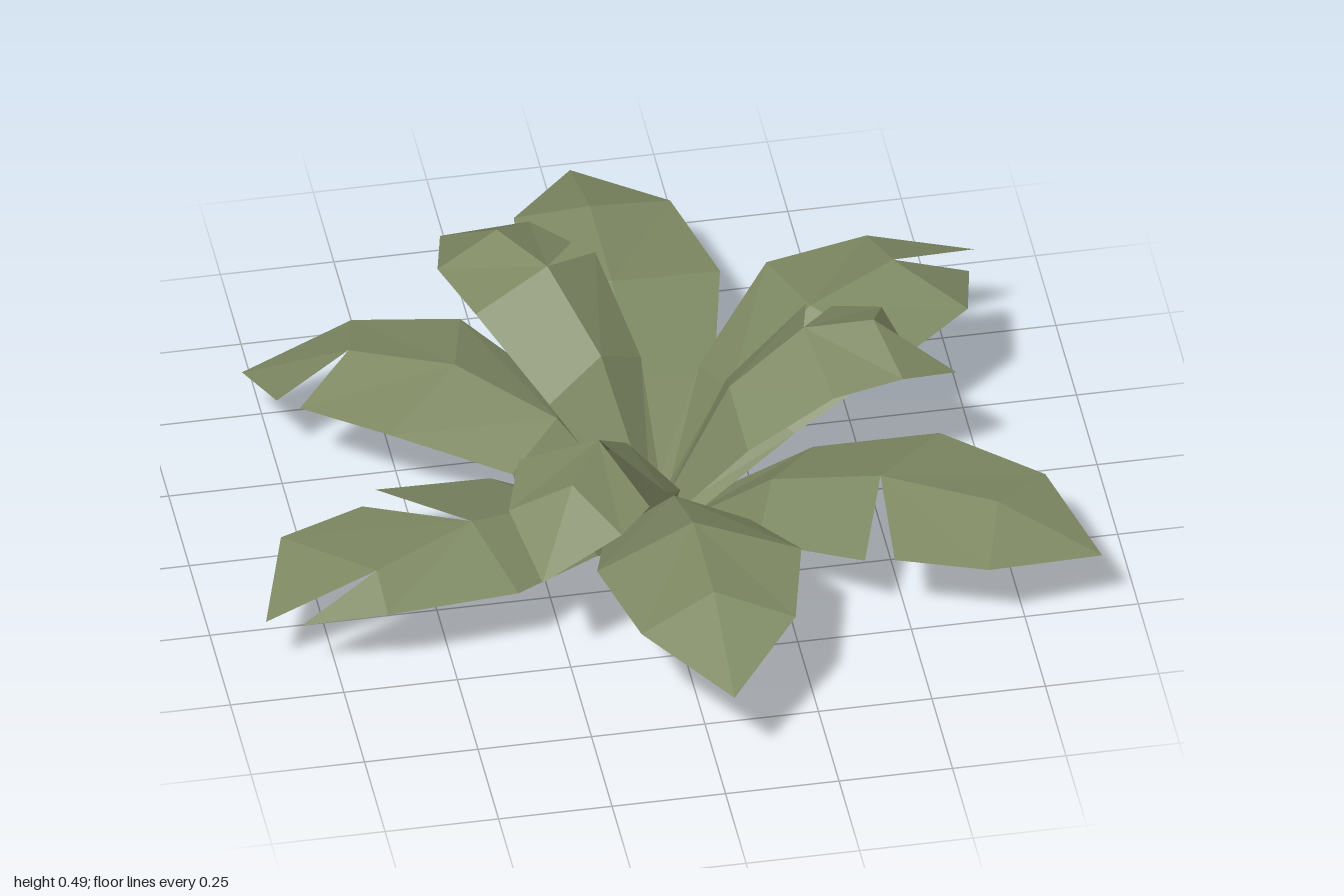
import * as THREE from 'three';

// Spine points are [radius, height]; edge points are [radius, half width, height]
const TIERS = {
  low: {
    spine: [[0.04, 0.005], [0.27, 0.19], [0.52, 0.265], [0.79, 0.265]],
    edge: [[0.05, 0.1, 0], [0.3, 0.18, 0.155], [0.57, 0.24, 0.22], [0.835, 0.18, 0.22]],
    tip: [1.03, 0.18],
    leaves: [
      { angle: 270, tear: [2, 0], widths: [0.88, 1.03] },
      { angle: 30, tear: [0, 2] },
      { angle: 150, tear: [0, 2], widths: [0.9, 1.1], bend: -0.07, gap: 0.03, trim: [0.06, 0.01] },
    ],
  },
  middle: {
    spine: [[0.02, 0.005], [0.23, 0.25], [0.47, 0.36], [0.72, 0.36]],
    edge: [[0.03, 0.05, 0.005], [0.28, 0.16, 0.2], [0.54, 0.225, 0.31], [0.775, 0.17, 0.31]],
    tip: [0.97, 0.26],
    leaves: [
      { angle: 90 },
      { angle: -30, scale: 0.94, bend: -0.02, gap: 0.025, trim: [0, 0.06], droop: -0.03 },
      { angle: 210, scale: 0.98, tear: [3, 0], widths: [0.95, 1], droop: 0.1 },
    ],
  },
  high: {
    spine: [[0.01, 0.03], [0.18, 0.35], [0.36, 0.49], [0.53, 0.49]],
    edge: [[0.02, 0.04, 0.03], [0.2, 0.13, 0.27], [0.4, 0.17, 0.42], [0.575, 0.13, 0.42]],
    tip: [0.72, 0.36],
    leaves: [
      { angle: 0, scale: 0.91, tear: [2, 0], gap: 0.05, trim: [0.1, 0] },
      { angle: 120, tear: [2, 0] },
      { angle: 240, tear: [0, 2] },
    ],
  },
};

// A leaf folded along its spine. Each half may be torn at one edge point,
// and the two halves may end in separate tips.
function leafGeometry(tier, {
  angle, scale = 1, tear = [0, 0], widths = [1, 1], bend = 0, gap = 0, trim = [0, 0], droop = 0,
}) {
  const a = THREE.MathUtils.degToRad(angle);
  const c = Math.cos(a), s = Math.sin(a);
  const positions = [];
  const point = (u, v, y) => [
    0.02 + u * scale * c + v * s,
    Math.max(0, y - droop * u),
    0.03 + u * scale * s - v * c,
  ];
  const spine = tier.spine.map(([r, y]) => point(r, 0, y));

  [1, -1].forEach((sign, side) => {
    const tri = (p, q, r) => positions.push(...(sign > 0 ? [p, q, r] : [p, r, q]).flat());
    const edgePoint = (i, torn) => {
      const [r, width, y] = tier.edge[i];
      const v = sign * width * widths[side] * (torn ? 0.9 : 1) + (i === 3 ? bend : 0);
      return point(r + (torn ? 0.06 : 0), v, y);
    };
    // the blade resumes a little further out after a tear
    const resume = (i) => edgePoint(i, i > 0 && tear[side] === i);

    for (let i = 0; i < 3; i++) {
      const end = edgePoint(i + 1, false);
      tri(spine[i], spine[i + 1], end);
      tri(spine[i], end, resume(i));
    }
    // pointed end
    const tip = point(tier.tip[0] - trim[side], bend + sign * gap, tier.tip[1]);
    tri(spine[3], tip, resume(3));
  });

  const geometry = new THREE.BufferGeometry();
  geometry.setAttribute('position', new THREE.Float32BufferAttribute(positions, 3));
  geometry.computeVertexNormals();
  return geometry;
}

export function createModel() {
  const plant = new THREE.Group();
  plant.name = 'leafyPlant';
  const leafGreen = new THREE.MeshStandardMaterial({ color: 0x7f8a64, flatShading: true, side: THREE.DoubleSide });
  leafGreen.name = 'leafGreen';

  for (const [tierName, tier] of Object.entries(TIERS)) {
    tier.leaves.forEach((shape, i) => {
      const leaf = new THREE.Mesh(leafGeometry(tier, shape), leafGreen);
      leaf.name = `${tierName}Leaf${i + 1}`;
      plant.add(leaf);
    });
  }
  return plant;
}
